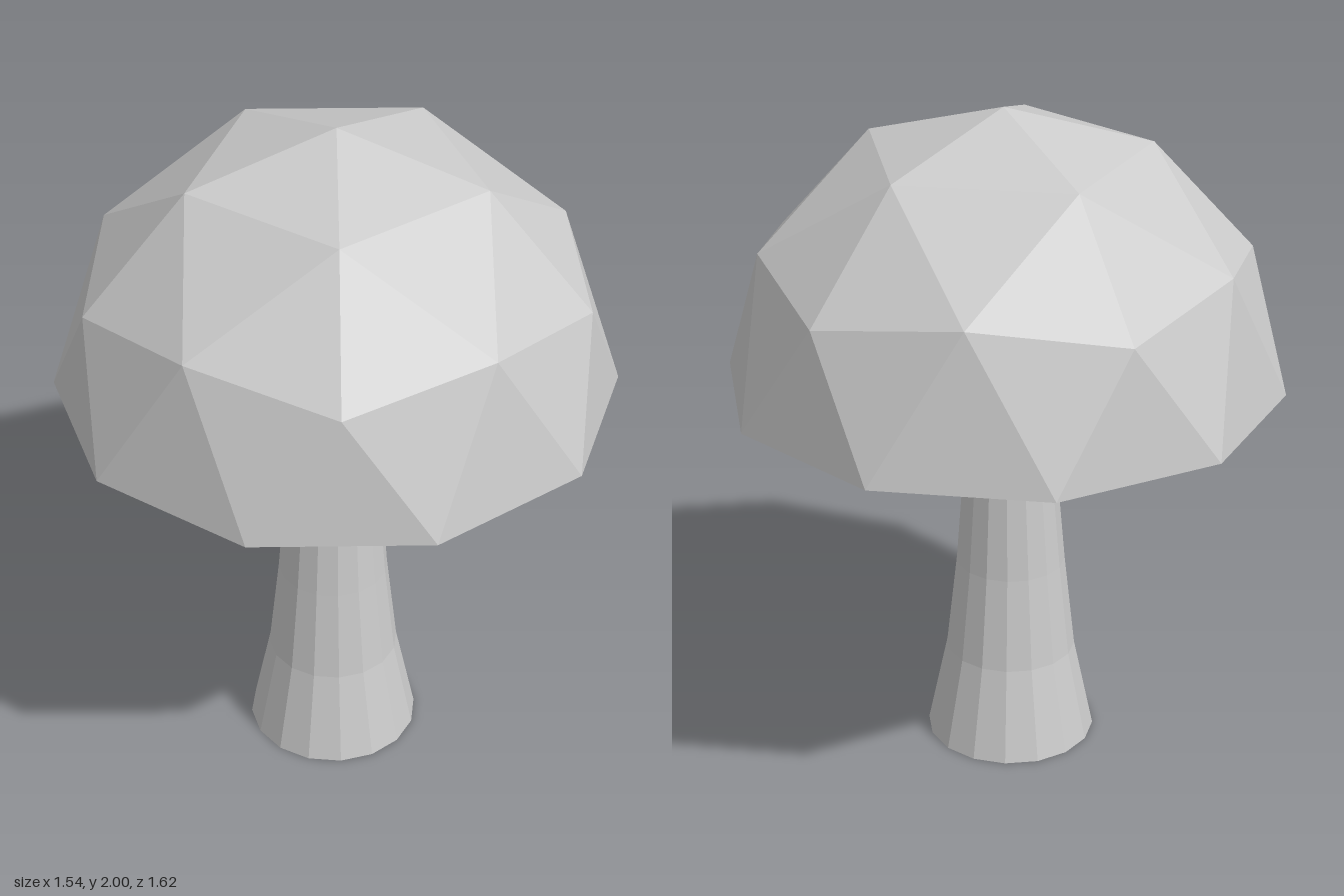
import * as THREE from 'three';
import { ConvexGeometry } from 'three/addons/geometries/ConvexGeometry.js';

const material = new THREE.MeshStandardMaterial({ color: 0xcccccc, flatShading: true });

// Faceted dome: upper half of a once-subdivided icosahedron
function makeCap() {
  const radius = 0.81, baseY = 1.19;
  const points = [new THREE.Vector3(0, radius, 0)];
  // [count, start angle in degrees, ring radius, height], as fractions of the dome radius
  const rings = [
    [5, 0, 0.5257, 0.8507],
    [5, 36, 0.8507, 0.5257],
    [5, 0, 0.8944, 0.4472],
    [10, 18, 1, 0],
  ];
  for (const [count, start, r, h] of rings) {
    for (let i = 0; i < count; i++) {
      const a = THREE.MathUtils.degToRad(start) + (i / count) * Math.PI * 2;
      points.push(new THREE.Vector3(Math.cos(a) * r, h, Math.sin(a) * r).multiply(
        new THREE.Vector3(radius, radius, radius)));
    }
  }
  const cap = new THREE.Mesh(new ConvexGeometry(points), material);
  cap.position.y = baseY;
  cap.name = 'cap';
  return cap;
}

// Bent stalk: a cylinder whose rows are fitted to leaning cross-sections
function makeStem() {
  // [height, z centre, radius, tilt], bottom to top
  const sections = [
    [0, 0.07, 0.255, 0],
    [0.285, 0.07, 0.195, 0],
    [0.575, 0.07, 0.163, 0],
    [0.86, 0.065, 0.14, 0.03],
    [1.14, 0.028, 0.151, 0.17],
    [1.2, 0, 0.183, 0],
  ];
  const rows = sections.length - 1;
  const geometry = new THREE.CylinderGeometry(1, 1, 1, 16, rows);
  const pos = geometry.attributes.position;
  for (let i = 0; i < pos.count; i++) {
    const [y, zc, r, tilt] = sections[Math.round((pos.getY(i) + 0.5) * rows)];
    const z = pos.getZ(i) * r;
    pos.setXYZ(i, 0.01 + pos.getX(i) * r, y + z * tilt, zc + z);
  }
  geometry.computeVertexNormals();
  const stem = new THREE.Mesh(geometry, material);
  stem.name = 'stem';
  return stem;
}

export function createModel() {
  const group = new THREE.Group();
  group.name = 'mushroom';
  group.add(makeCap(), makeStem());
  return group;
}
